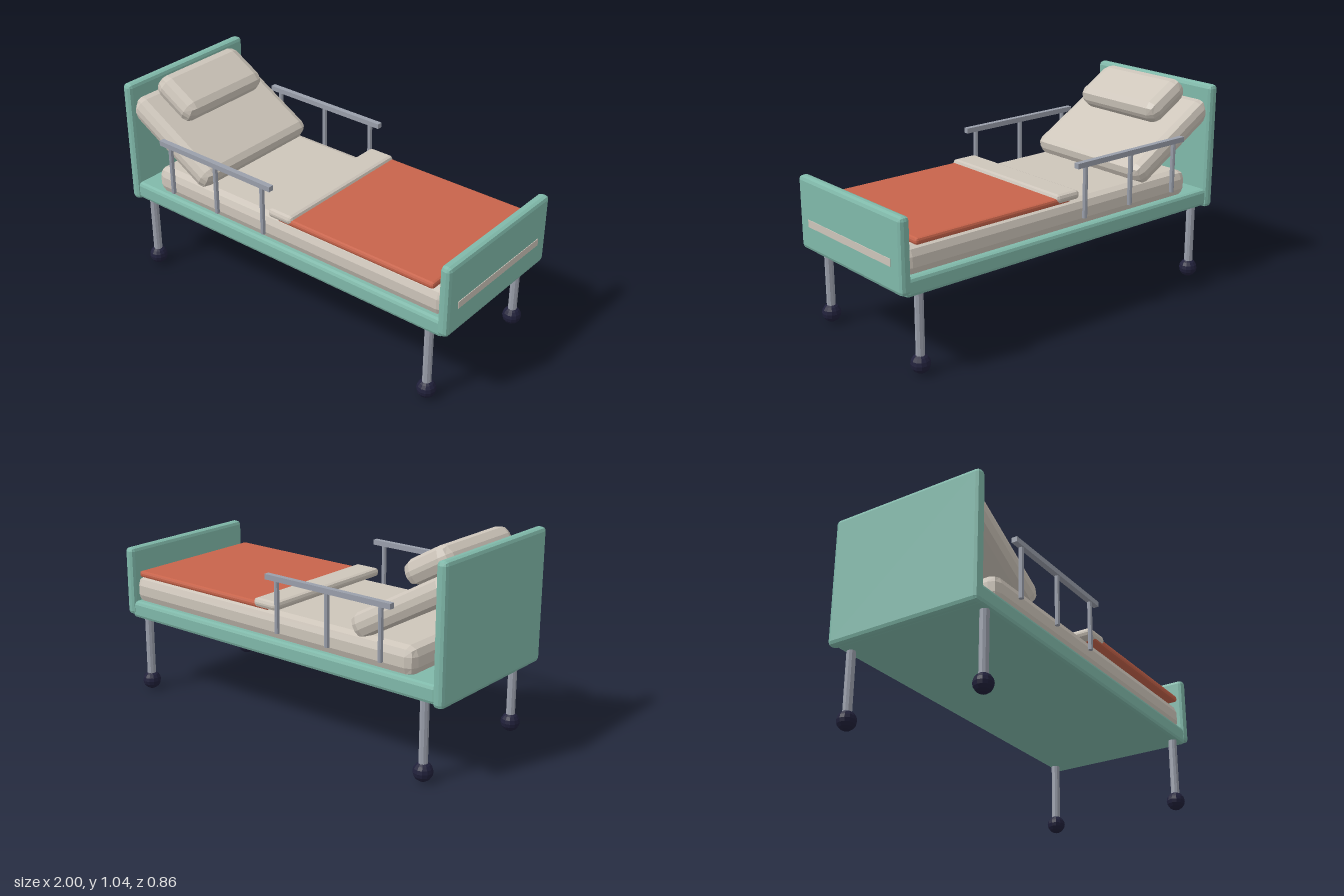
import * as THREE from 'three';
import { RoundedBoxGeometry } from 'three/addons/geometries/RoundedBoxGeometry.js';

const flat = (name, color) => new THREE.MeshStandardMaterial({ name, color, flatShading: true });

export function createModel() {
  const teal = flat('teal panel', 0x80b9aa);
  const linen = flat('linen', 0xcdc5ba);
  const red = flat('blanket red', 0xc8644b);
  const metal = flat('grey metal', 0x9a9fab);
  const rubber = flat('dark rubber', 0x20203a);

  const bed = new THREE.Group();
  bed.name = 'hospitalBed';

  const add = (name, geometry, material, x, y, z) => {
    const mesh = new THREE.Mesh(geometry, material);
    mesh.name = name;
    mesh.position.set(x, y, z);
    bed.add(mesh);
    return mesh;
  };
  // Bevelled box given by its x and y ranges and its depth, centred on z = 0
  const slab = (name, material, x0, x1, y0, y1, depth, radius) =>
    add(name, new RoundedBoxGeometry(x1 - x0, y1 - y0, depth, 1, radius),
      material, (x0 + x1) / 2, (y0 + y1) / 2, 0);

  // Frame and end boards
  slab('frame', teal, -0.96, 0.965, 0.385, 0.475, 0.8, 0.018);
  slab('headboard', teal, -0.998, -0.943, 0.375, 1.03, 0.816, 0.02);
  slab('footboard', teal, 0.94, 0.995, 0.4, 0.76, 0.816, 0.02);
  add('footboardStripe', new THREE.BoxGeometry(0.006, 0.036, 0.66), linen, 0.995, 0.541, 0);

  // Mattress, with a raised back section and a pillow leaning on it
  slab('mattress', linen, -0.82, 0.96, 0.465, 0.605, 0.76, 0.045);
  const tilt = -Math.PI / 6;
  add('backrest', new RoundedBoxGeometry(0.585, 0.12, 0.76, 1, 0.045), linen,
    -0.725, 0.765, 0).rotation.z = tilt;
  add('pillow', new RoundedBoxGeometry(0.27, 0.122, 0.544, 1, 0.05), linen,
    -0.791, 0.943, 0).rotation.z = tilt;

  // Blanket with its turned-down sheet
  slab('blanket', red, 0.01, 0.905, 0.613, 0.646, 0.79, 0.012);
  slab('sheetFold', linen, -0.045, 0.1, 0.618, 0.663, 0.8, 0.018);

  for (const side of [1, -1]) {
    // Side rails
    add('railBar', new THREE.BoxGeometry(0.726, 0.026, 0.028), metal, -0.367, 0.792, side * 0.414);
    for (const x of [-0.67, -0.367, -0.065]) {
      add('railPost', new THREE.CylinderGeometry(0.012, 0.012, 0.27, 8), metal,
        x, 0.658, side * 0.412);
    }
    // Legs on ball casters
    for (const x of [-0.88, 0.878]) {
      add('leg', new THREE.CylinderGeometry(0.022, 0.022, 0.34, 10), metal, x, 0.225, side * 0.365);
      add('caster', new THREE.SphereGeometry(0.047, 12, 8), rubber, x, 0.047, side * 0.365);
    }
  }
  return bed;
}
